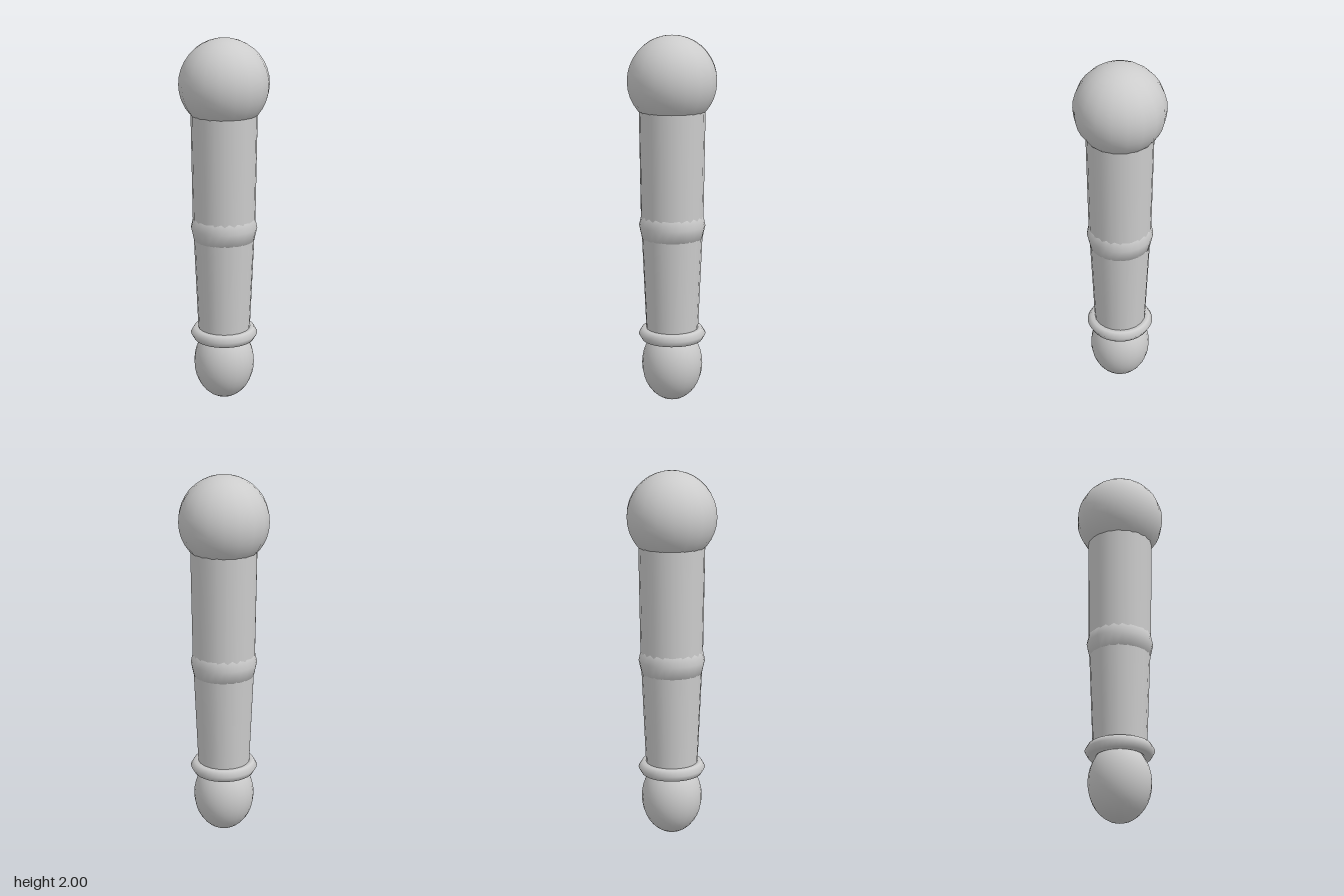
import * as THREE from 'three';

export function createModel() {
  const group = new THREE.Group();
  const grey = new THREE.MeshStandardMaterial({ color: 0xcccccc });
  grey.name = 'light grey';

  const add = (name, geometry, y) => {
    const mesh = new THREE.Mesh(geometry, grey);
    mesh.name = name;
    mesh.position.y = y;
    group.add(mesh);
    return mesh;
  };

  // Horizontal ring with a six-sided section, stretched in height
  const ring = (radius, tube, stretch, sides) =>
    new THREE.TorusGeometry(radius, tube, 6, sides).rotateX(Math.PI / 2).scale(1, stretch, 1);

  // Round head and egg-shaped pommel
  add('head', new THREE.SphereGeometry(0.24, 18, 18), 1.76);
  add('pommel', new THREE.SphereGeometry(0.166, 24, 18).scale(1, 1.26, 1), 0.209);

  // Tapered shaft in two sections, both ends buried in their neighbours
  add('upperShaft', new THREE.CylinderGeometry(0.178, 0.168, 0.72, 20), 1.34);
  add('lowerShaft', new THREE.CylinderGeometry(0.166, 0.14, 0.62, 20), 0.67);

  // Swollen band at mid-shaft and collar above the pommel
  add('middleBand', ring(0.148, 0.031, 2.6, 24), 0.985);
  add('collar', ring(0.146, 0.037, 1, 36), 0.38);

  return group;
}
